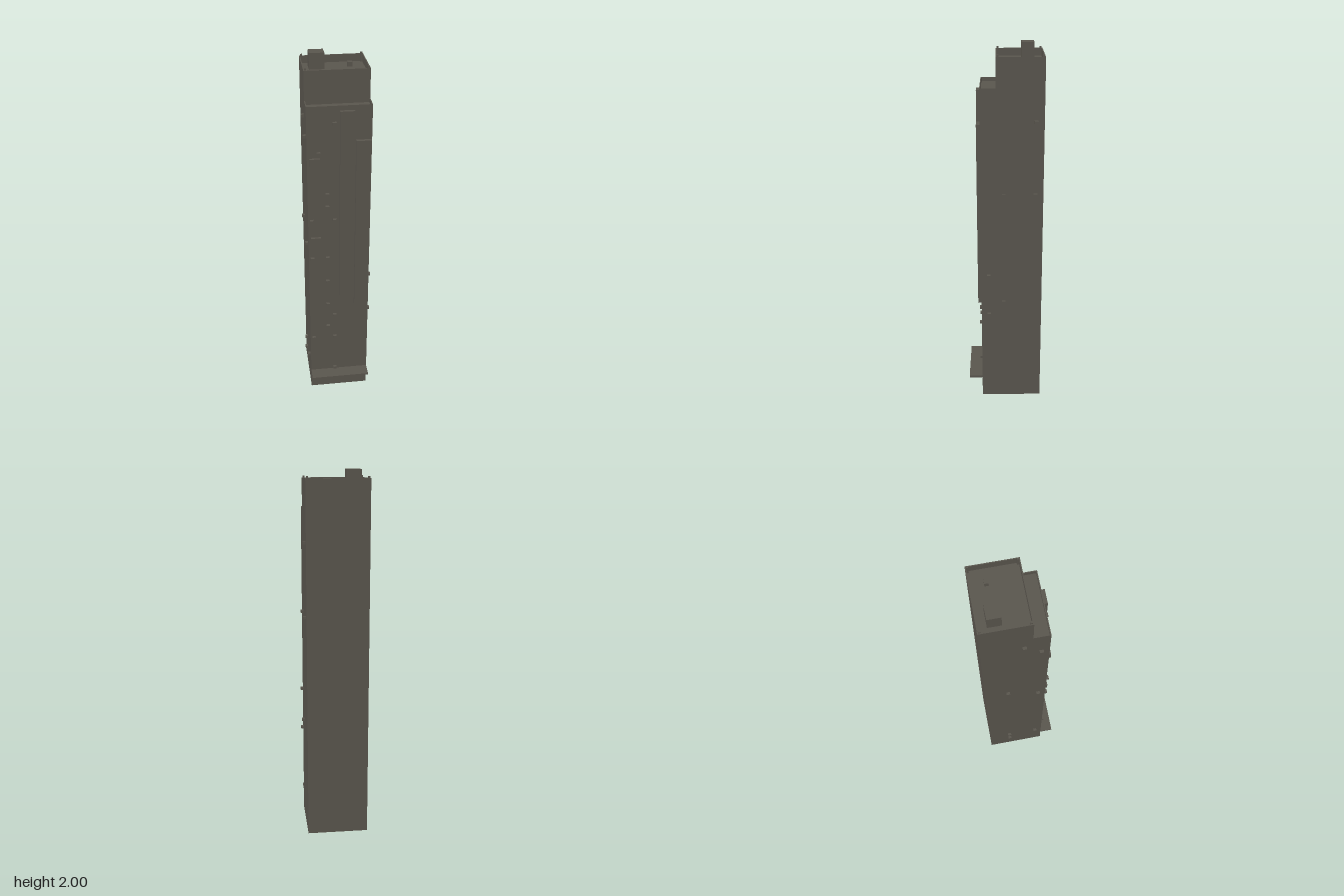
import * as THREE from 'three';

const X = 0.167, BACK = -0.205, FRONT = 0.128, STEP = 0.045; // footprint
const DECK = 1.78, LEDGE = 1.8, ROOF = 1.915, TOP = 1.955, T = 0.005;

export function createModel() {
  const model = new THREE.Group();
  model.name = 'towerBlock';
  const material = new THREE.MeshStandardMaterial({ color: 0x5a564e, side: THREE.DoubleSide });

  // box given by its limits along each axis
  function block(name, x0, x1, y0, y1, z0, z1) {
    const mesh = new THREE.Mesh(new THREE.BoxGeometry(x1 - x0, y1 - y0, z1 - z0), material);
    mesh.position.set((x0 + x1) / 2, (y0 + y1) / 2, (z0 + z1) / 2);
    mesh.name = name;
    model.add(mesh);
    return mesh;
  }

  // main shaft, a shell open at the bottom
  const shaft = block('shaft', -X, X, 0, DECK, BACK, FRONT);
  const index = Array.from(shaft.geometry.index.array);
  index.splice(18, 6);
  shaft.geometry.setIndex(index);
  shaft.geometry.clearGroups();

  // set-back top storey
  block('topStorey', -X, X, DECK, ROOF, BACK, STEP);

  // parapet around the roof
  block('parapetFront', -X, X, ROOF, TOP, STEP - T, STEP);
  block('parapetBack', -X, X, ROOF, TOP, BACK, BACK + T);
  for (const s of [-1, 1]) {
    const a = s < 0 ? -X : X - T;
    block('parapetSide', a, a + T, ROOF, TOP, BACK + T, STEP - T);
    block('terraceParapetSide', a, a + T, DECK, LEDGE, STEP, FRONT - T);
    // corner posts
    const p = s < 0 ? -X + T : X - T - 0.01;
    for (const z of [BACK + T, STEP - T - 0.01]) {
      block('cornerPost', p, p + 0.01, ROOF, TOP + 0.01, z, z + 0.01);
    }
  }
  block('terraceParapetFront', -X, X, DECK, LEDGE, FRONT - T, FRONT);

  // rooftop equipment
  block('roofHouse', -0.127, -0.048, ROOF, 2, -0.157, -0.09);
  block('roofVent', 0.073, 0.098, ROOF, ROOF + 0.025, -0.133, -0.113);

  // front panels, wall boxes and entrance canopy
  block('tallPanel', 0.002, 0.077, 0.675, 1.775, FRONT, 0.147);
  block('outerPanel', 0.085, 0.163, 0.6, 1.615, FRONT, 0.147);
  for (const y of [1.01, 1.477]) block('wallBox', -0.155, -0.1, y, y + 0.046, FRONT, 0.141);
  block('canopy', -X, X, 0.115, 0.126, FRONT, 0.203);

  // small window units on the front: [x, y]
  const frontUnits = [
    [-0.025, 1.71], [-0.108, 1.55], [-0.064, 1.315], [-0.064, 1.24], [-0.148, 1.16],
    [-0.025, 1.16], [-0.148, 0.923], [-0.064, 0.923], [-0.064, 0.768], [-0.064, 0.61],
    [-0.025, 0.532], [-0.064, 0.454], [-0.148, 0.375], [-0.025, 0.375], [-0.025, 0.14],
  ];
  for (const [x, y] of frontUnits) {
    block('windowUnit', x - 0.01, x + 0.01, y - 0.007, y + 0.007, FRONT, 0.144);
  }

  // small window units on the sides: [z, y]
  const leftUnits = [[-0.163, 1.63], [-0.163, 1.238], [0.004, 1.238], [0.087, 0.768], [0.004, 0.61], [0.087, 0.532]];
  const rightUnits = [[0.004, 1.71], [0.087, 1.63], [-0.08, 1.08], [0.087, 1.0], [-0.08, 0.218], [0.087, 0.218], [-0.08, 0.14]];
  for (const [z, y] of leftUnits) {
    block('leftWindowUnit', X, X + 0.015, y - 0.007, y + 0.007, z - 0.01, z + 0.01);
  }
  for (const [z, y] of rightUnits) {
    block('rightWindowUnit', -X - 0.015, -X, y - 0.007, y + 0.007, z - 0.01, z + 0.01);
  }
  return model;
}
